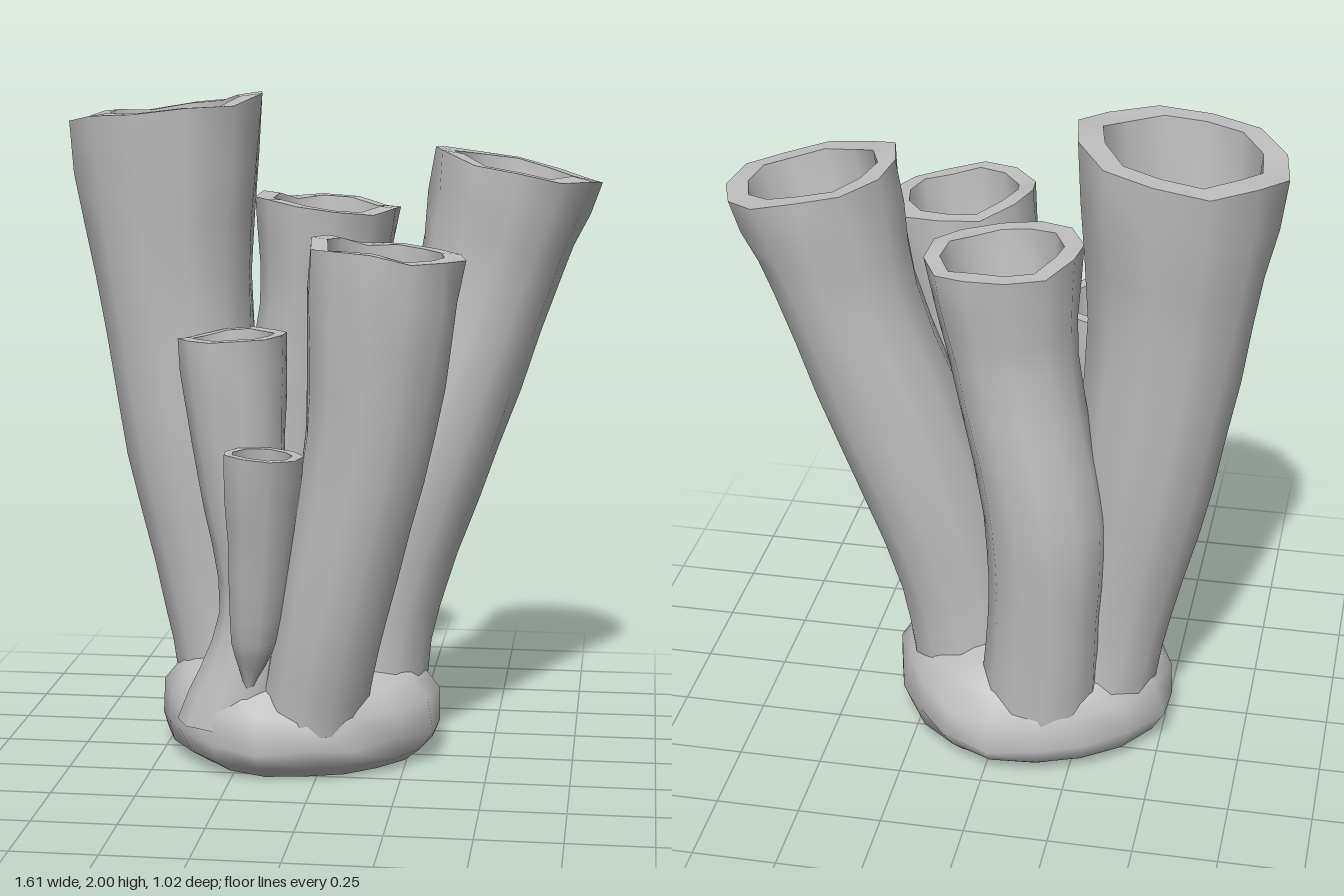
import * as THREE from 'three';

// Deterministic wobble in -1..1 for a ring vertex
function wobble(i, j, seed) {
  const s = Math.sin(i * 12.9898 + j * 78.233 + seed * 37.719) * 43758.5453;
  return (s - Math.floor(s)) * 2 - 1;
}

// Smooth surface through a list of closed rings of equal size
function loft(name, rings, material) {
  const n = rings[0].length;
  const index = [];
  for (let j = 0; j < rings.length - 1; j++) {
    for (let i = 0; i < n; i++) {
      const k = (i + 1) % n;
      const a = j * n + i, b = a + n, c = (j + 1) * n + k, d = j * n + k;
      index.push(a, b, c, a, c, d);
    }
  }
  const g = new THREE.BufferGeometry();
  g.setAttribute('position', new THREE.Float32BufferAttribute(rings.flat(2), 3));
  g.setIndex(index);
  g.computeVertexNormals();
  const mesh = new THREE.Mesh(g, material);
  mesh.name = name;
  return mesh;
}

// Each path row is [x, y, z, radius], from the root up to the mouth
const TUBES = [
  { name: 'tallTube', tilt: 0.08, path: [
    [-0.28, 0.14, -0.13, 0.19], [-0.34, 0.42, -0.13, 0.18], [-0.42, 0.9, -0.14, 0.215],
    [-0.49, 1.45, -0.15, 0.24], [-0.51, 1.95, -0.16, 0.3]] },
  { name: 'backTube', tilt: -0.04, path: [
    [-0.13, 0.12, -0.26, 0.18], [-0.16, 0.5, -0.3, 0.17], [-0.16, 0.85, -0.32, 0.178],
    [-0.06, 1.35, -0.29, 0.185], [-0.03, 1.66, -0.285, 0.225]] },
  { name: 'leaningTube', tilt: -0.11, path: [
    [0.1, 0.14, -0.07, 0.19], [0.15, 0.45, -0.08, 0.185], [0.3, 0.95, -0.1, 0.213],
    [0.47, 1.45, -0.13, 0.215], [0.555, 1.79, -0.14, 0.25]] },
  { name: 'frontTube', tilt: -0.05, path: [
    [-0.03, 0.14, 0.17, 0.16], [0.04, 0.48, 0.23, 0.165],
    [0.16, 1.05, 0.27, 0.193], [0.205, 1.575, 0.29, 0.225]] },
  { name: 'shortTube', tilt: 0.02, path: [
    [-0.27, 0.14, 0.13, 0.17], [-0.19, 0.48, 0.16, 0.115],
    [-0.235, 0.9, 0.17, 0.13], [-0.26, 1.305, 0.17, 0.162]] },
  { name: 'smallTube', tilt: -0.01, path: [
    [-0.2, 0.27, 0.27, 0.015], [-0.18, 0.42, 0.29, 0.07],
    [-0.155, 0.74, 0.34, 0.098], [-0.14, 0.995, 0.38, 0.118]] },
];

function makeTube({ name, tilt, path }, seed, material) {
  const group = new THREE.Group();
  group.name = name;
  const centre = new THREE.CatmullRomCurve3(path.map(([x, y, z]) => new THREE.Vector3(x, y, z)));
  const girth = new THREE.SplineCurve(path.map((p, i) => new THREE.Vector2(i, p[3])));
  const mouthRadius = path.at(-1)[3];
  const sides = mouthRadius < 0.15 ? 9 : 12;
  const wall = 0.24 * mouthRadius;

  // Ring at fraction t along the path; the mouth is tilted and ragged
  function ring(t, inset, row) {
    const c = centre.getPoint(t), r = girth.getPoint(t).y;
    const mouth = Math.max(0, (t - 0.75) * 4);
    return Array.from({ length: sides }, (_, i) => {
      const a = (i + 0.3 * seed) / sides * Math.PI * 2;
      const rr = (r - inset) * (1 + wobble(i, row, seed) * (0.015 + mouth * 0.018));
      const x = rr * Math.cos(a), z = rr * Math.sin(a);
      const lift = mouth * (tilt * x / r * 0.5 + 0.05 * r * wobble(i, 9, seed));
      return [c.x + x, c.y + lift, c.z + z];
    });
  }

  const outer = Array.from({ length: 13 }, (_, j) => ring(j / 12, 0, j));
  const inner = Array.from({ length: 7 }, (_, j) => ring(1 - 0.55 * j / 6, wall * (1 - 0.07 * j), j + 20));
  const floor = centre.getPoint(0.42).toArray();
  const cavity = [...inner, Array(sides).fill(floor)];

  group.add(loft(name + 'OuterWall', outer, material));
  group.add(loft(name + 'Rim', [outer.at(-1), inner[0]], material));
  group.add(loft(name + 'InnerWall', cavity, material));
  return group;
}

// Lumpy flat-bottomed root mass: profile rows of [height, scale]
function makeBase(material) {
  const profile = [[0, 0.8], [0.04, 0.93], [0.1, 1], [0.19, 0.96], [0.26, 0.84], [0.31, 0.6], [0.33, 0.3], [0.33, 0]];
  const n = 18;
  const rings = profile.map(([y, s], j) => Array.from({ length: n }, (_, i) => {
    const a = i / n * Math.PI * 2;
    const lump = s * (1 + 0.035 * Math.sin(4 * a + 0.6) + 0.025 * wobble(i, j, 5));
    const rise = j > 1 ? 0.015 * wobble(i, j, 8) * Math.min(1, s * 3) : 0;
    return [-0.09 + 0.43 * lump * Math.cos(a), y + rise, -0.06 + 0.41 * lump * Math.sin(a)];
  }));
  const group = new THREE.Group();
  group.name = 'base';
  group.add(loft('baseBody', rings, material));
  group.add(loft('baseUnderside', [Array(n).fill([-0.09, 0, -0.06]), rings[0]], material));
  return group;
}

export function createModel() {
  const model = new THREE.Group();
  model.name = 'tubeSponge';
  const grey = new THREE.MeshStandardMaterial({ color: 0xc0c0c0 });
  grey.name = 'spongeGrey';
  model.add(makeBase(grey));
  TUBES.forEach((tube, i) => model.add(makeTube(tube, i + 1, grey)));
  return model;
}
